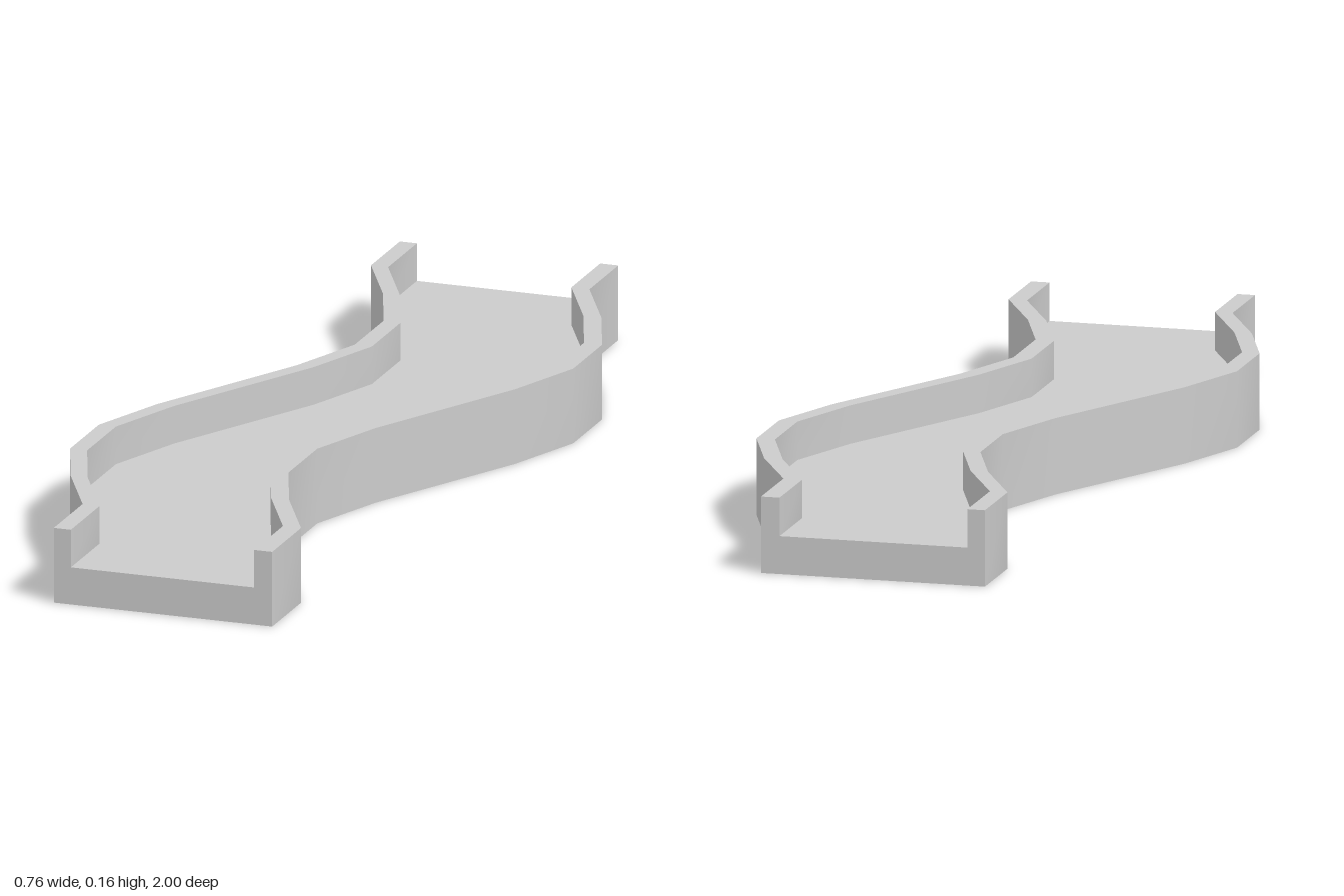
import * as THREE from 'three';
import { toCreasedNormals } from 'three/addons/utils/BufferGeometryUtils.js';

export function createModel() {
  const group = new THREE.Group();
  group.name = 'windingSlide';

  // U-shaped cross-section: flat bed with a low wall on each side
  const top = 0.155, bed = 0.077;
  const profile = new THREE.Shape([
    [-0.231, 0], [0.229, 0], [0.229, top], [0.191, top],
    [0.191, bed], [-0.195, bed], [-0.195, top], [-0.231, top],
  ].map(([x, y]) => new THREE.Vector2(x, y)));

  // Sideways shift at each of the evenly spaced stations from back to middle;
  // the front half mirrors it to the other side
  const half = [0, 0, 0.086, 0.148, 0.148, 0.086, 0];
  const shift = (i) => (i <= 6 ? half[i] : -half[12 - i]);

  // Extrude straight, then slide every station sideways into an S-bend
  const geometry = new THREE.ExtrudeGeometry(profile, { depth: 2, steps: 12, bevelEnabled: false });
  geometry.translate(0, 0, -1);
  const pos = geometry.attributes.position;
  for (let i = 0; i < pos.count; i++) {
    const station = Math.round((pos.getZ(i) + 1) * 6);
    pos.setX(i, pos.getX(i) + shift(station));
  }

  // Smooth along the bends, sharp along the edges
  const slide = new THREE.Mesh(
    toCreasedNormals(geometry, 0.7),
    new THREE.MeshStandardMaterial({ color: 0xcccccc }),
  );
  slide.name = 'slideChannel';
  group.add(slide);
  return group;
}
